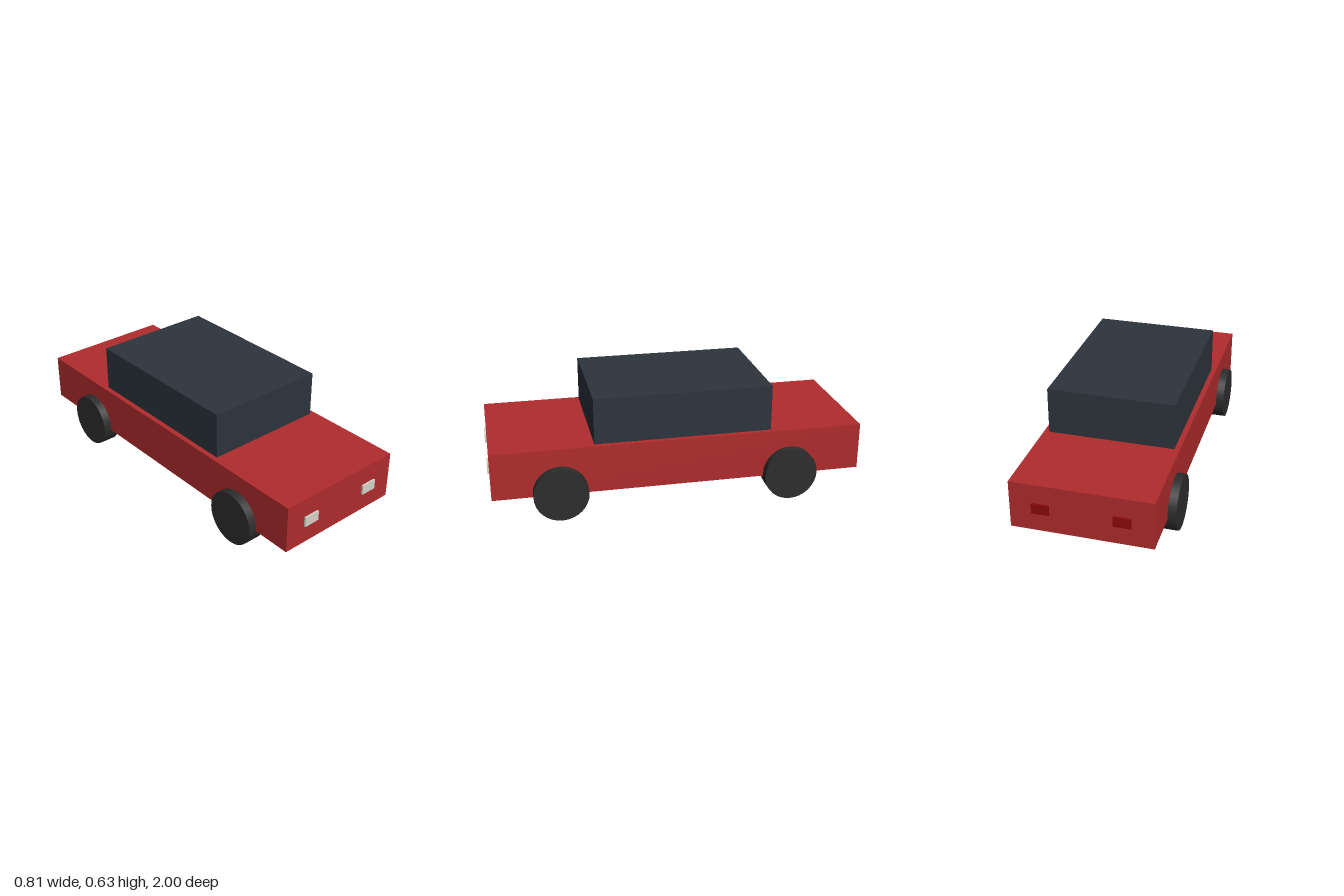
import * as THREE from 'three';

export function createModel() {
  const car = new THREE.Group();
  car.name = 'car';
  const paint = (color) => new THREE.MeshStandardMaterial({ color });
  const red = paint(0xb02b2c);
  const glass = paint(0x2c343c);
  const rubber = paint(0x2d2d2d);
  const lamp = paint(0xd6d3c8);
  const tailLamp = paint(0x8b0a0a);

  const add = (name, geometry, material, x, y, z) => {
    const mesh = new THREE.Mesh(geometry, material);
    mesh.name = name;
    mesh.position.set(x, y, z);
    car.add(mesh);
  };

  // Lower body and cabin
  add('body', new THREE.BoxGeometry(0.72, 0.255, 1.98), red, 0, 0.2555, 0);
  add('cabin', new THREE.BoxGeometry(0.664, 0.247, 0.946), glass, 0, 0.5065, -0.022);

  // Wheels and lights, mirrored left and right
  const wheel = new THREE.CylinderGeometry(0.144, 0.144, 0.096, 32).rotateZ(Math.PI / 2);
  const light = new THREE.BoxGeometry(0.089, 0.054, 0.02);
  for (const [side, s] of [['left', 1], ['right', -1]]) {
    add(`${side}FrontWheel`, wheel, rubber, s * 0.356, 0.144, 0.636);
    add(`${side}RearWheel`, wheel, rubber, s * 0.356, 0.144, -0.597);
    add(`${side}Headlight`, light, lamp, s * 0.2025, 0.254, 0.99);
    add(`${side}TailLight`, light, tailLamp, s * 0.2025, 0.254, -0.99);
  }
  return car;
}
